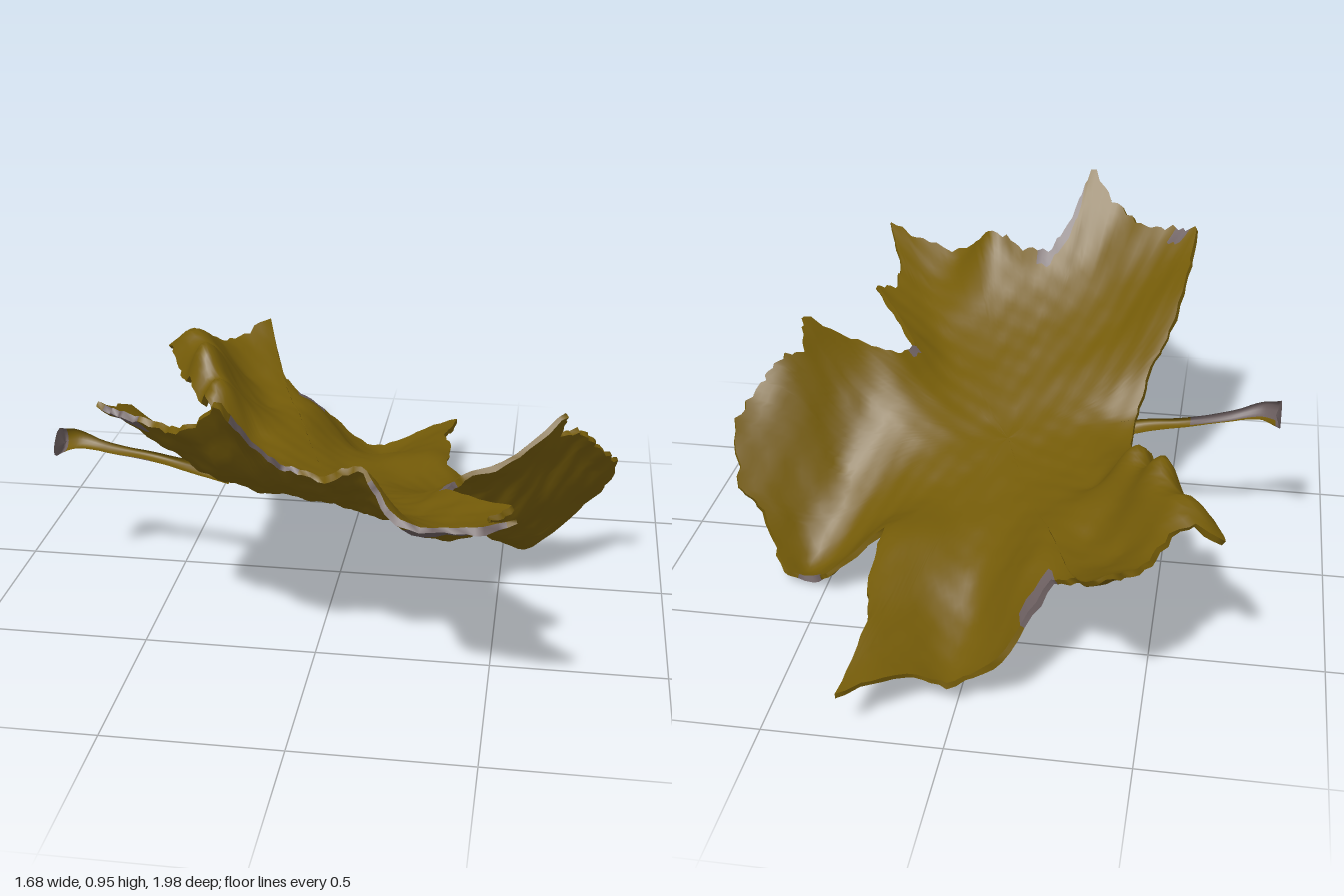
import * as THREE from 'three';

// Leaf margin, counter-clockwise from the stem: x, z, height
const margin = [
  [-0.39, 0.17, 0.41], [-0.42, 0.28, 0.53], [-0.47, 0.36, 0.61], [-0.51, 0.50, 0.74], [-0.53, 0.73, 0.84],
  [-0.46, 0.76, 0.83], [-0.36, 0.79, 0.82], [-0.25, 0.89, 0.86], [-0.15, 0.96, 0.95], [-0.10, 0.86, 0.81],
  [-0.03, 0.78, 0.71], [0.08, 0.82, 0.71], [0.17, 0.84, 0.75], [0.25, 0.91, 0.67], [0.42, 0.95, 0.65],
  [0.57, 0.99, 0.70], [0.50, 0.83, 0.61], [0.49, 0.72, 0.57], [0.55, 0.67, 0.59], [0.46, 0.56, 0.55],
  [0.36, 0.40, 0.50], [0.40, 0.32, 0.51], [0.53, 0.30, 0.56], [0.68, 0.21, 0.67], [0.66, 0.15, 0.58],
  [0.73, 0.09, 0.57], [0.78, 0.05, 0.51], [0.84, -0.05, 0.43], [0.80, -0.18, 0.26], [0.72, -0.19, 0.19],
  [0.63, -0.30, 0.05], [0.53, -0.30, 0.04], [0.48, -0.35, 0.08], [0.30, -0.33, 0.25], [0.30, -0.55, 0.22],
  [0.265, -0.72, 0.19], [0.29, -0.99, 0.14], [0.13, -0.85, 0.12], [0.0, -0.82, 0.09],
  [-0.14, -0.80, 0.20], [-0.24, -0.66, 0.34], [-0.31, -0.72, 0.39], [-0.39, -0.92, 0.52], [-0.48, -0.80, 0.49],
  [-0.55, -0.68, 0.53], [-0.69, -0.65, 0.50], [-0.63, -0.52, 0.485], [-0.57, -0.40, 0.47], [-0.49, -0.26, 0.45],
  [-0.39, -0.08, 0.42]];

// Heights inside the leaf
const inner = [
  [-0.25, 0.05, 0.37], [0.07, 0.17, 0.36], [0, -0.05, 0.31], [0, -0.2, 0.28], [0.22, -0.2, 0.25], [0.25, 0, 0.29],
  [0.5, -0.06, 0.16], [0.46, -0.2, 0.08], [0.57, -0.24, 0.02], [0.52, 0.03, 0.24], [0.65, 0, 0.34],
  [0.32, 0.15, 0.37], [0, 0.5, 0.51], [-0.3, 0.5, 0.58], [0.3, 0.5, 0.47], [0.28, 0.33, 0.43], [0.3, 0.8, 0.58],
  [-0.15, 0.78, 0.7], [-0.4, 0.65, 0.72], [-0.2, 0.3, 0.46], [0.1, 0.3, 0.41], [-0.2, -0.2, 0.345],
  [-0.2, -0.42, 0.355], [-0.06, -0.4, 0.26], [0.1, -0.5, 0.2], [-0.32, -0.48, 0.36], [-0.17, -0.58, 0.33],
  [-0.02, -0.6, 0.15], [-0.43, -0.62, 0.42], [-0.52, -0.40, 0.60], [-0.60, -0.57, 0.58], [-0.44, -0.24, 0.54],
  [-0.42, -0.40, 0.47], [-0.33, -0.2, 0.39]];

// Withered stretches of the margin, counted in margin points
const witheredAbove = [[4.2, 4.9], [8.3, 10.2], [19.9, 20.5], [39.2, 40.1]];
const witheredRim = [...witheredAbove, [4.9, 5.5], [12.3, 14.8], [30.3, 31.2]];
const witheredBelow = [[4.5, 5.5], [13.3, 14.9], [30.4, 31.1]];

const bend = d2 => (d2 > 1e-12 ? d2 * Math.log(d2) : 0);

// Thin-plate surface through all the given heights
function thinPlate(pts) {
  const n = pts.length, m = n + 3;
  const rows = Array.from({ length: m }, () => new Array(m + 1).fill(0));
  pts.forEach(([x, z, y], i) => {
    pts.forEach(([u, v], j) => { rows[i][j] = bend((x - u) ** 2 + (z - v) ** 2); });
    [1, x, z].forEach((p, k) => { rows[i][n + k] = rows[n + k][i] = p; });
    rows[i][m] = y;
  });
  for (let c = 0; c < m; c++) {
    let best = c;
    for (let r = c + 1; r < m; r++) if (Math.abs(rows[r][c]) > Math.abs(rows[best][c])) best = r;
    [rows[c], rows[best]] = [rows[best], rows[c]];
    for (let r = 0; r < m; r++) {
      if (r === c) continue;
      const f = rows[r][c] / rows[c][c];
      for (let k = c; k <= m; k++) rows[r][k] -= f * rows[c][k];
    }
  }
  const w = rows.map((row, i) => row[m] / row[i]);
  return (x, z) => pts.reduce((s, [u, v], i) => s + w[i] * bend((x - u) ** 2 + (z - v) ** 2),
    w[n] + w[n + 1] * x + w[n + 2] * z);
}

// Closed rings of points joined row by row; isGrey picks the second material
function skin(rings, isGrey) {
  const cols = rings[0].length, faces = [[], []];
  for (let r = 0; r + 1 < rings.length; r++) {
    for (let c = 0; c < cols; c++) {
      const d = (c + 1) % cols;
      const a = r * cols + c, b = a + cols, e = r * cols + d, f = e + cols;
      faces[isGrey(r, c) ? 1 : 0].push(a, b, f, a, f, e);
    }
  }
  const g = new THREE.BufferGeometry();
  g.setAttribute('position', new THREE.Float32BufferAttribute(rings.flat().flatMap(p => p.toArray()), 3));
  g.setIndex(faces.flat());
  g.addGroup(0, faces[0].length, 0);
  g.addGroup(faces[0].length, faces[1].length, 1);
  g.computeVertexNormals();
  return g;
}

export function createModel() {
  const group = new THREE.Group();
  const gold = new THREE.MeshStandardMaterial({ color: 0x745b08 });
  gold.name = 'dry leaf ochre';
  const grey = new THREE.MeshStandardMaterial({ color: 0x6c5f60 });
  grey.name = 'withered grey';
  const materials = [gold, grey];
  const add = (geometry, name) => {
    const mesh = new THREE.Mesh(geometry, materials);
    mesh.name = name;
    group.add(mesh);
  };

  const height = thinPlate([...margin, ...inner]);
  const bumps = (x, z) => 0.004 * Math.sin(31 * x + 9 * z) * Math.sin(27 * z - 11 * x)
    + 0.003 * Math.sin(63 * x - 20 * z) * Math.sin(58 * z + 17 * x);

  // Point on the upper or lower face, offset along the surface normal
  function leafPoint(x, z, offset) {
    const e = 0.004, y = height(x, z);
    const normal = new THREE.Vector3((y - height(x + e, z)) / e, 1, (y - height(x, z + e)) / e).normalize();
    const rough = bumps(x, z) * (offset < 0 ? 1.6 : 0.5);
    return new THREE.Vector3(x, y, z).addScaledVector(normal, offset + rough);
  }

  // Slightly ragged margin
  const steps = 6, outline = [];
  margin.forEach(([x, z], i) => {
    const [u, v] = margin[(i + 1) % margin.length];
    for (let s = 0; s < steps; s++) {
      const t = s / steps, k = i * steps + s;
      const ragged = s ? 1 + 0.008 * Math.sin(k * 2.3) + 0.005 * Math.sin(k * 5.1) : 1;
      outline.push([(x + (u - x) * t) * ragged, (z + (v - z) * t) * ragged]);
    }
  });

  // Upper face, rim and lower face, spreading from the leaf's middle
  const rows = 30, cz = 0.1, thick = 0.008;
  const ring = (r, offset) => {
    const t = Math.pow(r / rows, 0.85);
    return outline.map(([x, z]) => leafPoint(x * t, cz + (z - cz) * t, offset));
  };
  const upper = Array.from({ length: rows + 1 }, (_, r) => ring(r, thick));
  const lower = Array.from({ length: rows + 1 }, (_, r) => ring(rows - r, -thick));
  const within = (spans, c) => spans.some(([from, to]) => c >= from * steps && c < to * steps);
  add(skin(upper, (r, c) => r >= rows - 2 && within(witheredAbove, c)), 'leafUpperFace');
  add(skin([upper[rows], lower[0]], (r, c) => within(witheredRim, c)), 'leafRim');
  add(skin(lower, (r, c) => r < 2 && within(witheredBelow, c)), 'leafUnderside');

  // Stem, thin in the middle and flared at its broken end
  const path = new THREE.CatmullRomCurve3([
    [-0.32, 0.385, 0.14], [-0.42, 0.41, 0.15], [-0.55, 0.435, 0.14], [-0.68, 0.46, 0.15], [-0.78, 0.485, 0.16],
    [-0.835, 0.475, 0.165]].map(p => new THREE.Vector3(...p)));
  const radii = [0.03, 0.027, 0.019, 0.018, 0.022, 0.038, 0.052];
  const stemRings = [], count = 36, sides = 14;
  for (let i = 0; i <= count; i++) {
    const t = i / count, p = path.getPoint(t), k = Math.min(t * 6, 5.999), j = Math.floor(k);
    const radius = radii[j] + (radii[j + 1] - radii[j]) * (k - j);
    stemRings.push(Array.from({ length: sides }, (_, c) => {
      const a = c / sides * Math.PI * 2, r = radius * (1 + 0.1 * Math.sin(3 * a + 9 * t));
      return new THREE.Vector3(p.x, p.y + 0.75 * r * Math.sin(a), p.z + r * Math.cos(a));
    }));
  }
  const end = new THREE.Vector3(-0.82, 0.472, 0.16);
  stemRings.push(stemRings[count].map(() => end.clone()));
  add(skin(stemRings, (r, c) => r >= count - 2 || (r > 14 && (c >= 11 || c < 2))), 'stem');

  // Rest the lowest point on the ground
  const lowest = new THREE.Box3().setFromObject(group).min.y;
  group.children.forEach(mesh => mesh.geometry.translate(0, -lowest, 0));
  return group;
}
